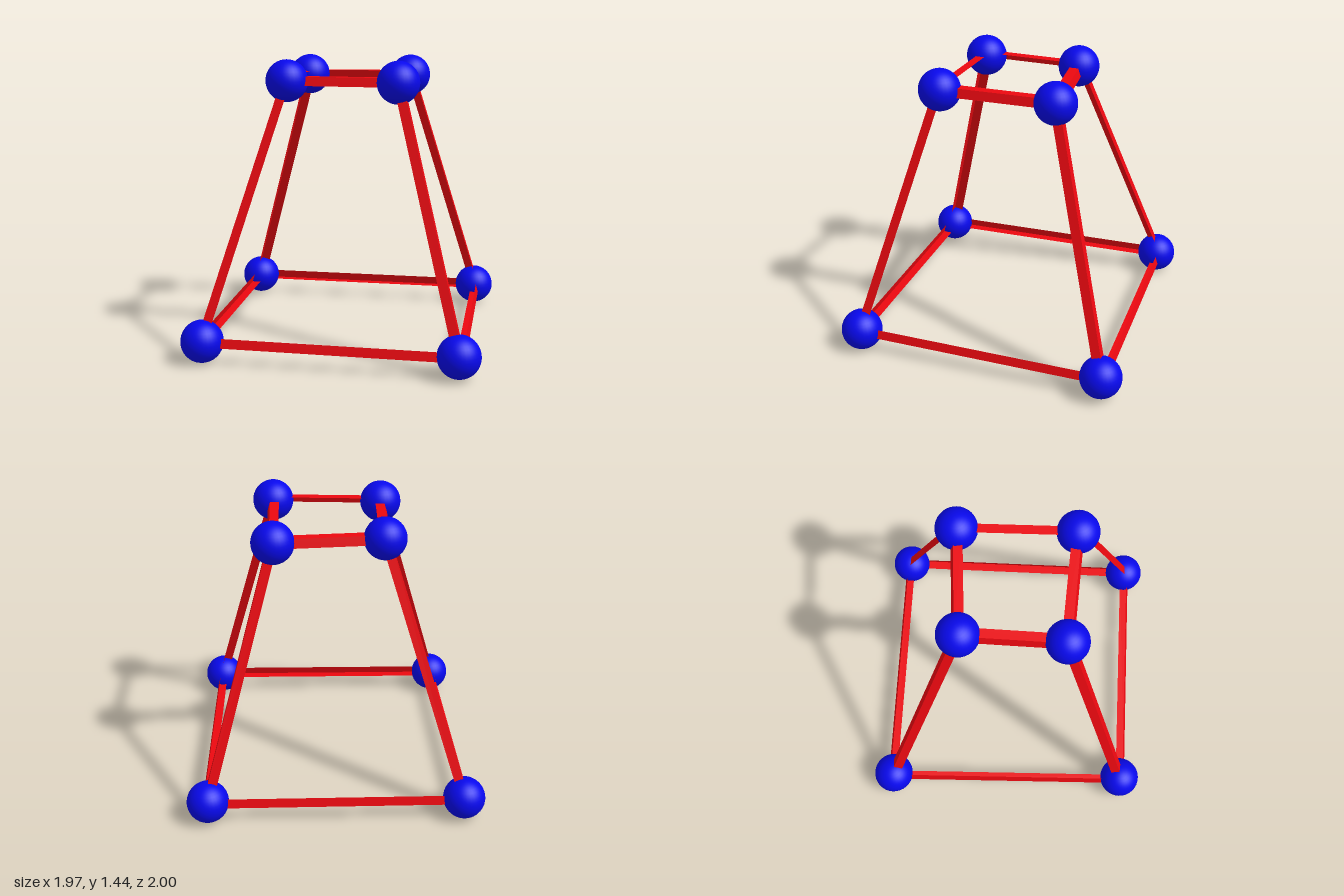
import * as THREE from 'three';

const RADIUS = 0.104;
const FLANGE = 0.046;

// Joint centres, in order: left, front, right, back
const toPoints = (list) => list.map((p) => new THREE.Vector3(...p));
const lower = toPoints([[0.88, 0.107, 0.005], [-0.018, 0.107, 0.896], [-0.88, 0.107, 0.01], [-0.015, 0.107, -0.896]]);
const upper = toPoints([[0.39, 1.336, 0.008], [-0.015, 1.336, 0.422], [-0.38, 1.336, 0.005], [-0.015, 1.336, -0.343]]);

function centre(points) {
  return points.reduce((sum, p) => sum.add(p), new THREE.Vector3()).divideScalar(points.length);
}

// Angle bar from a to b: two flanges that lie along the two faces meeting at this edge
function angleBar(a, b, faceCentre1, faceCentre2) {
  const along = b.clone().sub(a).normalize();
  const [f1, f2] = [faceCentre1, faceCentre2].map((c) =>
    c.clone().sub(a).projectOnPlane(along).setLength(FLANGE));
  const ridge = f1.clone().add(f2).multiplyScalar(-0.5);
  const section = [ridge.clone().add(f1), ridge, ridge.clone().add(f2)];
  const points = [a, b].flatMap((end) => section.map((s) => s.clone().add(end)));
  const geometry = new THREE.BufferGeometry().setFromPoints(points);
  geometry.setIndex([0, 1, 4, 0, 4, 3, 1, 2, 5, 1, 5, 4]);
  const flat = geometry.toNonIndexed();
  flat.computeVertexNormals();
  return flat;
}

export function createModel() {
  const group = new THREE.Group();
  const blue = new THREE.MeshStandardMaterial({ color: 0x0808ec });
  const red = new THREE.MeshStandardMaterial({ color: 0xec0810, flatShading: true, side: THREE.DoubleSide });
  const ball = new THREE.SphereGeometry(RADIUS, 32, 20);

  function add(name, geometry, material) {
    const mesh = new THREE.Mesh(geometry, material);
    mesh.name = name;
    group.add(mesh);
    return mesh;
  }

  const base = centre(lower);
  const top = centre(upper);
  const sides = lower.map((p, i) => {
    const next = (i + 1) % 4;
    return centre([p, lower[next], upper[i], upper[next]]);
  });

  for (let i = 0; i < 4; i++) {
    const next = (i + 1) % 4;
    const previous = (i + 3) % 4;

    // Balls at the corners
    add('lowerJoint', ball, blue).position.copy(lower[i]);
    add('upperJoint', ball, blue).position.copy(upper[i]);

    // Rails around both rings and the sloping corner legs
    add('lowerRail', angleBar(lower[next], lower[i], sides[i], base), red);
    add('upperRail', angleBar(upper[i], upper[next], sides[i], top), red);
    add('leg', angleBar(lower[i], upper[i], sides[i], sides[previous]), red);
  }
  return group;
}
